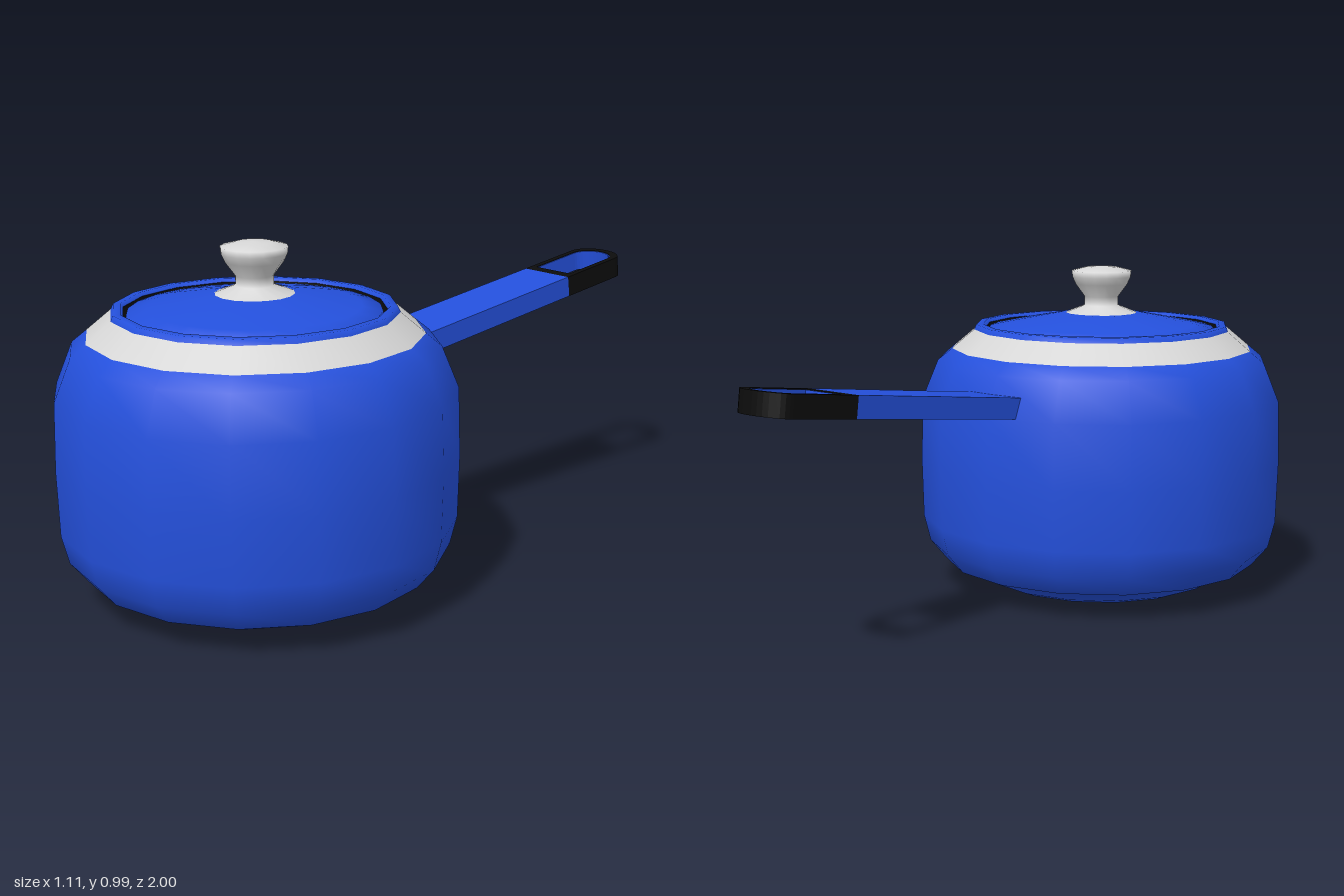
import * as THREE from 'three';

const mat = (name, color, side = THREE.FrontSide) => {
  const m = new THREE.MeshStandardMaterial({ color, side });
  m.name = name;
  return m;
};

export function createModel() {
  const blue = mat('blue enamel', 0x2450dc);
  const grey = mat('light grey', 0xd6d6d6);
  const black = mat('black', 0x0c0c0c);

  const model = new THREE.Group();
  model.name = 'saucepan';

  const add = (parent, name, geometry, material) => {
    const mesh = new THREE.Mesh(geometry, material);
    mesh.name = name;
    parent.add(mesh);
    return mesh;
  };
  // Profiles are [radius, height], running up the outside
  const lathe = (points, sides) =>
    new THREE.LatheGeometry(points.map(([r, y]) => new THREE.Vector2(r, y)), sides);

  // Round parts share the pan's axis
  const pan = new THREE.Group();
  pan.name = 'pan';
  pan.position.z = 0.445;
  model.add(pan);

  add(pan, 'body', lathe([
    [0, 0], [0.25, 0.003], [0.325, 0.014], [0.365, 0.03], [0.39, 0.06], [0.48, 0.08],
    [0.53, 0.14], [0.55, 0.22], [0.555, 0.4], [0.55, 0.59], [0.503, 0.705], [0.46, 0.74],
  ], 16), blue);
  add(pan, 'shoulderBand', lathe([[0.46, 0.74], [0.392, 0.797]], 16), grey);
  add(pan, 'rim', lathe([[0.392, 0.797], [0.385, 0.812], [0.365, 0.813], [0.358, 0.803]], 16), blue);
  add(pan, 'rimLining', lathe([[0.358, 0.803], [0.354, 0.765], [0.3, 0.765]], 16), black);
  add(pan, 'lid', lathe([
    [0.345, 0.76], [0.345, 0.8], [0.29, 0.812], [0.12, 0.845], [0, 0.85],
  ], 24), blue);
  add(pan, 'knob', lathe([
    [0.115, 0.843], [0.052, 0.868], [0.052, 0.895], [0.08, 0.933], [0.09, 0.955],
    [0.092, 0.973], [0.05, 0.984], [0, 0.988],
  ], 16), grey);

  // Handle: built along -z, then tilted up
  const handle = new THREE.Group();
  handle.name = 'handle';
  handle.position.y = 0.611;
  handle.rotation.x = 0.135;
  model.add(handle);

  const thick = 0.062, start = 0.727;
  const shaft = new THREE.BoxGeometry(0.18, thick, start - 0.05);
  shaft.translate(0, 0, -(start + 0.05) / 2);
  add(handle, 'shaft', shaft, blue);

  // Straight sides with an arched far end
  const arch = (Kind, half, y0, y1, rise) => {
    const s = new Kind();
    s.moveTo(-half, y0);
    s.lineTo(half, y0);
    s.lineTo(half, y1);
    s.absellipse(0, y1, half, rise, 0, Math.PI, false, 0);
    s.lineTo(-half, y0);
    return s;
  };
  const plate = (shape, depth) => {
    const g = new THREE.ExtrudeGeometry(shape, { depth, bevelEnabled: false, curveSegments: 8 });
    g.translate(0, 0, -depth / 2);
    g.rotateX(-Math.PI / 2);
    return g;
  };

  const loop = arch(THREE.Shape, 0.09, start, 0.95, 0.055);
  loop.holes.push(arch(THREE.Path, 0.07, 0.757, 0.935, 0.05));
  add(handle, 'hangingLoop', plate(loop, thick), black);

  // Thin blue lining of the hanging hole
  const lining = arch(THREE.Shape, 0.07, 0.757, 0.935, 0.05);
  lining.holes.push(arch(THREE.Path, 0.067, 0.76, 0.935, 0.047));
  add(handle, 'loopLining', plate(lining, thick - 0.004), blue);

  return model;
}
